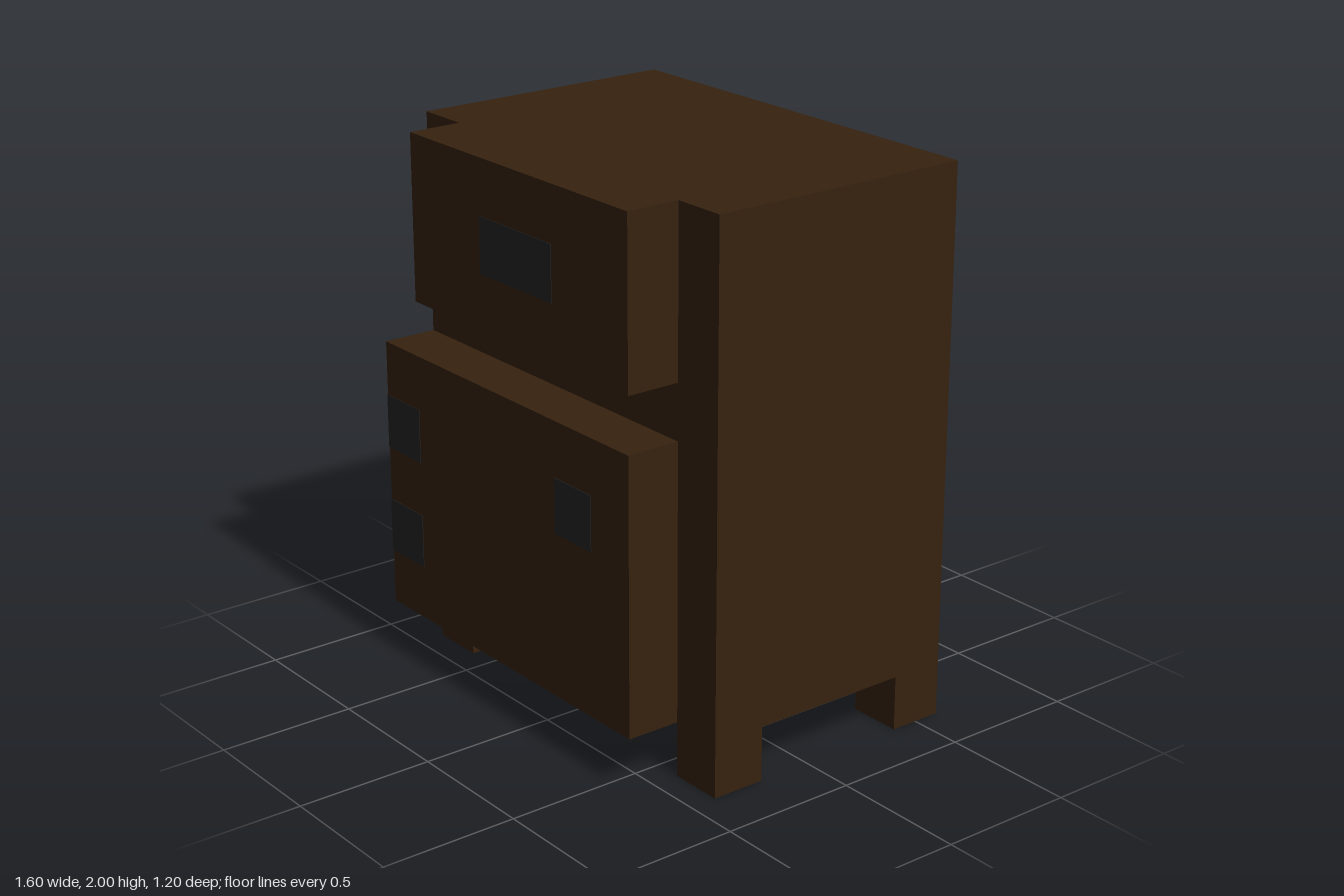
import * as THREE from 'three';

export function createModel() {
  const model = new THREE.Group();
  model.name = 'cabinet';
  const wood = new THREE.MeshStandardMaterial({ name: 'dark wood', color: 0x36220f });
  const iron = new THREE.MeshStandardMaterial({ name: 'dark iron', color: 0x242424 });

  // Box given by its lower and upper corners
  function box(name, material, [x0, y0, z0], [x1, y1, z1]) {
    const mesh = new THREE.Mesh(new THREE.BoxGeometry(x1 - x0, y1 - y0, z1 - z0), material);
    mesh.position.set((x0 + x1) / 2, (y0 + y1) / 2, (z0 + z1) / 2);
    mesh.name = name;
    model.add(mesh);
  }

  // Main case with a drawer above and a door below
  box('case', wood, [-0.8, 0.2, -0.6], [0.8, 2, 0.4]);
  box('drawer', wood, [-0.6, 1.4, 0.4], [0.6, 2, 0.6]);
  box('door', wood, [-0.8, 0.2, 0.4], [0.6, 1.2, 0.6]);

  // Four square legs
  for (const x of [-0.8, 0.6]) {
    for (const z of [-0.6, 0.2]) {
      box('leg', wood, [x, 0, z], [x + 0.2, 0.2, z + 0.2]);
    }
  }

  // Thin handle plates
  const lift = 0.002;
  box('drawerHandle', iron, [-0.2, 1.6, 0.598], [0.2, 1.8, 0.6 + lift]);
  box('doorHandle', iron, [0.2, 0.8, 0.598], [0.4, 1, 0.6 + lift]);

  // Hinges: a front plate and a side plate around the door edge
  for (const y of [0.4, 0.8]) {
    box('hingeFront', iron, [-0.8 - lift, y, 0.598], [-0.6, y + 0.2, 0.6 + lift]);
    box('hingeSide', iron, [-0.8 - lift, y, 0.4], [-0.798, y + 0.2, 0.598]);
  }

  return model;
}
